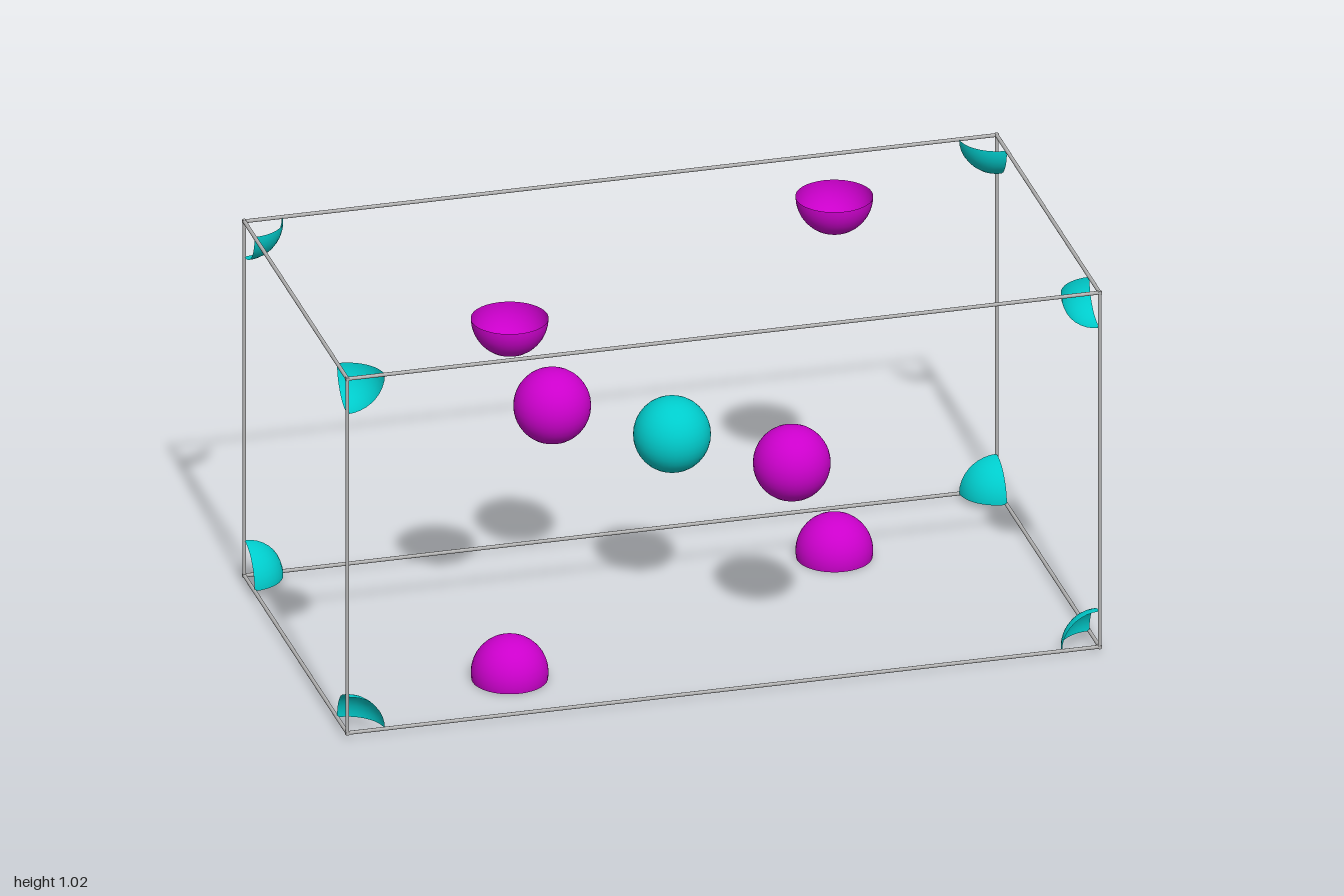
import * as THREE from 'three';

export function createModel() {
  const model = new THREE.Group();
  const cell = 0.995;           // cell height and depth; the width is double
  const R = 0.0995;             // atom radius
  const rod = 0.005;            // frame rod radius
  const overlap = Math.PI / 18; // lower domes run one ring past the equator
  const y0 = R * Math.sin(overlap), yMid = y0 + cell / 2, y1 = y0 + cell;
  const half = cell / 2, quarter = cell / 4;

  const magenta = new THREE.MeshStandardMaterial({ color: 0xcc00cc, side: THREE.DoubleSide });
  magenta.name = 'magenta';
  const teal = new THREE.MeshStandardMaterial({ color: 0x00cccc, side: THREE.DoubleSide });
  teal.name = 'teal';
  const grey = new THREE.MeshStandardMaterial({ color: 0xb3b3b3 });
  grey.name = 'grey';

  const add = (name, geometry, material, x, y, z) => {
    const mesh = new THREE.Mesh(geometry, material);
    mesh.name = name;
    mesh.position.set(x, y, z);
    model.add(mesh);
  };

  // Whole atoms in the middle of the cell
  const ball = new THREE.SphereGeometry(R, 36, 18);
  add('centreAtom', ball, teal, 0, yMid, 0);
  for (const s of [-1, 1]) add('innerAtom', ball, magenta, s * quarter, yMid, s * quarter);

  // Open half shells on the floor and ceiling faces
  const dome = new THREE.SphereGeometry(R, 36, 10, 0, Math.PI * 2, 0, Math.PI / 2 + overlap);
  const bowl = new THREE.SphereGeometry(R, 36, 9, 0, Math.PI * 2, Math.PI / 2, Math.PI / 2);
  for (const s of [-1, 1]) {
    add('lowerHalfAtom', dome, magenta, s * half, y0, -s * quarter);
    add('upperHalfAtom', bowl, magenta, s * half, y1, -s * quarter);
  }

  // Open eighth shells at the corners, each facing into the cell
  for (const sx of [-1, 1]) for (const sz of [-1, 1]) for (const top of [0, 1]) {
    const quadrant = sz < 0 ? (sx > 0 ? 0 : 1) : (sx < 0 ? 2 : 3);
    const eighth = new THREE.SphereGeometry(R, 9, 9,
      quadrant * Math.PI / 2, Math.PI / 2, top * Math.PI / 2, Math.PI / 2);
    add('cornerAtom', eighth, teal, sx * cell, top ? y1 : y0, sz * half);
  }

  // Twelve frame rods, four along each axis
  const longRod = new THREE.CylinderGeometry(rod, rod, cell * 2 + rod * 2, 12).rotateZ(Math.PI / 2);
  const upRod = new THREE.CylinderGeometry(rod, rod, cell + rod * 2, 12);
  const deepRod = upRod.clone().rotateX(Math.PI / 2);
  for (const a of [-1, 1]) for (const b of [-1, 1]) {
    add('frameLongRod', longRod, grey, 0, yMid + a * half, b * half);
    add('frameUpright', upRod, grey, a * cell, yMid, b * half);
    add('frameDepthRod', deepRod, grey, a * cell, yMid + b * half, 0);
  }

  return model;
}
